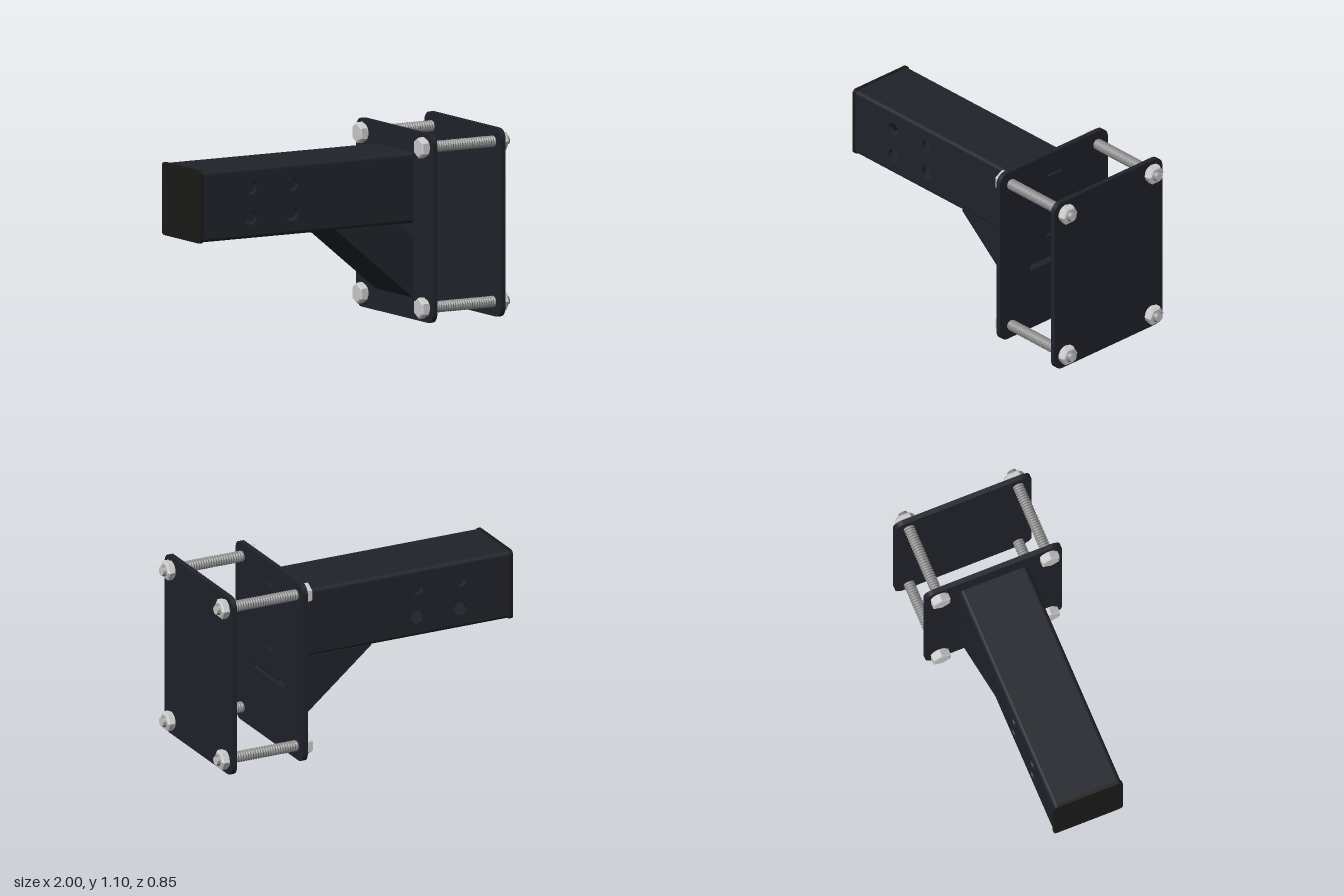
import * as THREE from 'three';

const mat = (color, extra = {}) => new THREE.MeshStandardMaterial({ color, ...extra });
const paint = mat(0x20232b);
const capPaint = mat(0x1b1a19);
const steel = mat(0xcccccc, { flatShading: true });
const threadSteel = mat(0x8e8e8e, { flatShading: true });

function add(parent, name, geometry, material) {
  const mesh = new THREE.Mesh(geometry, material);
  mesh.name = name;
  parent.add(mesh);
  return mesh;
}

// Rectangle centred on x = 0; separate radii for top and bottom corners
function roundedRect(half, y0, y1, rTop, rBottom = rTop) {
  const s = new THREE.Shape();
  s.moveTo(-half + rBottom, y0);
  s.lineTo(half - rBottom, y0);
  if (rBottom) s.absarc(half - rBottom, y0 + rBottom, rBottom, -Math.PI / 2, 0);
  s.lineTo(half, y1 - rTop);
  if (rTop) s.absarc(half - rTop, y1 - rTop, rTop, 0, Math.PI / 2);
  s.lineTo(-half + rTop, y1);
  if (rTop) s.absarc(-half + rTop, y1 - rTop, rTop, Math.PI / 2, Math.PI);
  s.lineTo(-half, y0 + rBottom);
  if (rBottom) s.absarc(-half + rBottom, y0 + rBottom, rBottom, Math.PI, Math.PI * 1.5);
  return s;
}

const polygon = pts => new THREE.Shape(pts.map(p => new THREE.Vector2(...p)));

// Extrude a z-y section along x, or an x-y outline along z
function alongX(shape, x0, x1) {
  return new THREE.ExtrudeGeometry(shape, { depth: x1 - x0, bevelEnabled: false, curveSegments: 8 })
    .rotateY(Math.PI / 2).translate(x0, 0, 0);
}
function alongZ(shape, z0, z1) {
  return new THREE.ExtrudeGeometry(shape, { depth: z1 - z0, bevelEnabled: false, curveSegments: 16 })
    .translate(0, 0, z0);
}

// Turned profile of [radius, x] pairs about the x axis
function turned(profile, sides, phase = 0) {
  return new THREE.LatheGeometry(profile.map(p => new THREE.Vector2(...p)), sides, phase)
    .rotateZ(-Math.PI / 2);
}

function createBolt() {
  const bolt = new THREE.Group();
  bolt.name = 'bolt';
  // Threaded shank with tooth rings
  const profile = [[0, 0.43], [0.028, 0.43]];
  const pitch = 0.016;
  for (let x = 0.44; x < 0.975; x += pitch) profile.push([0.028, x], [0.034, x + pitch / 2]);
  profile.push([0.03, 0.985], [0.026, 0.995], [0, 0.995]);
  add(bolt, 'threadedShank', turned(profile, 20), threadSteel);
  add(bolt, 'shankTip', turned([[0.026, 0.99], [0.026, 0.997], [0, 0.997]], 20), steel);
  // Hexagonal head and nut, each against a round washer face
  add(bolt, 'hexHead', turned([[0, 0.39], [0.052, 0.39], [0.062, 0.396], [0.062, 0.432], [0, 0.432]], 6, Math.PI / 6), steel);
  add(bolt, 'headWasher', turned([[0, 0.431], [0.052, 0.431], [0.052, 0.442], [0, 0.442]], 24), steel);
  add(bolt, 'nutWasher', turned([[0, 0.928], [0.054, 0.928], [0.054, 0.938], [0, 0.938]], 24), steel);
  add(bolt, 'hexNut', turned([[0, 0.936], [0.06, 0.936], [0.06, 0.967], [0.048, 0.977], [0, 0.977]], 6), steel);
  return bolt;
}

export function createModel() {
  const model = new THREE.Group();
  model.name = 'clampBracket';

  // Square tube: rounded top and bottom slabs, side walls with cross holes
  const tube = new THREE.Group();
  tube.name = 'squareTube';
  model.add(tube);
  const [bottom, top, half, wall] = [0.56, 0.975, 0.21, 0.03];
  add(tube, 'tubeTop', alongX(roundedRect(half, top - wall, top, 0.025, 0), -0.985, 0.44), paint);
  add(tube, 'tubeBottom', alongX(roundedRect(half, bottom, bottom + wall, 0, 0.025), -0.985, 0.44), paint);
  const side = polygon([[-0.985, bottom + wall], [0.44, bottom + wall], [0.44, top - wall], [-0.985, top - wall]]);
  for (const x of [-0.66, -0.38]) for (const y of [0.68, 0.855]) {
    side.holes.push(new THREE.Path().absarc(x, y, 0.04, 0, Math.PI * 2, true));
  }
  for (const z of [-half, half - wall]) add(tube, 'tubeSide', alongZ(side, z, z + wall), paint);
  add(model, 'endCap', alongX(roundedRect(0.215, 0.555, 0.98, 0.025), -1, -0.982), capPaint);

  // Hollow diagonal brace below the tube
  const brace = new THREE.Group();
  brace.name = 'diagonalBrace';
  model.add(brace);
  const braceSide = polygon([[-0.085, 0.562], [0.442, 0.125], [0.442, 0.48], [0.345, 0.562]]);
  for (const z of [-0.208, 0.178]) add(brace, 'braceSide', alongZ(braceSide, z, z + 0.03), paint);
  const lower = polygon([[-0.085, 0.562], [0.442, 0.125], [0.442, 0.165], [-0.037, 0.562]]);
  const upper = polygon([[0.297, 0.562], [0.442, 0.44], [0.442, 0.48], [0.345, 0.562]]);
  add(brace, 'braceLowerWall', alongZ(lower, -0.18, 0.18), paint);
  add(brace, 'braceUpperWall', alongZ(upper, -0.18, 0.18), paint);

  // Clamp plates; the inner one is slotted
  const innerShape = roundedRect(0.425, 0, 1.1, 0.06);
  for (const [w, y, h] of [[0.06, 0.96, 0.014], [0.06, 0.565, 0.014], [0.19, 0.4, 0.04]]) {
    innerShape.holes.push(roundedRect(w, y - h / 2, y + h / 2, h * 0.3));
  }
  add(model, 'innerPlate', alongX(innerShape, 0.44, 0.47), paint);
  add(model, 'outerPlate', alongX(roundedRect(0.425, 0, 1.1, 0.06), 0.9, 0.93), paint);

  // Four corner bolts
  for (const y of [0.085, 1.02]) for (const z of [-0.34, 0.34]) {
    const bolt = createBolt();
    bolt.position.set(0, y, z);
    model.add(bolt);
  }
  return model;
}
